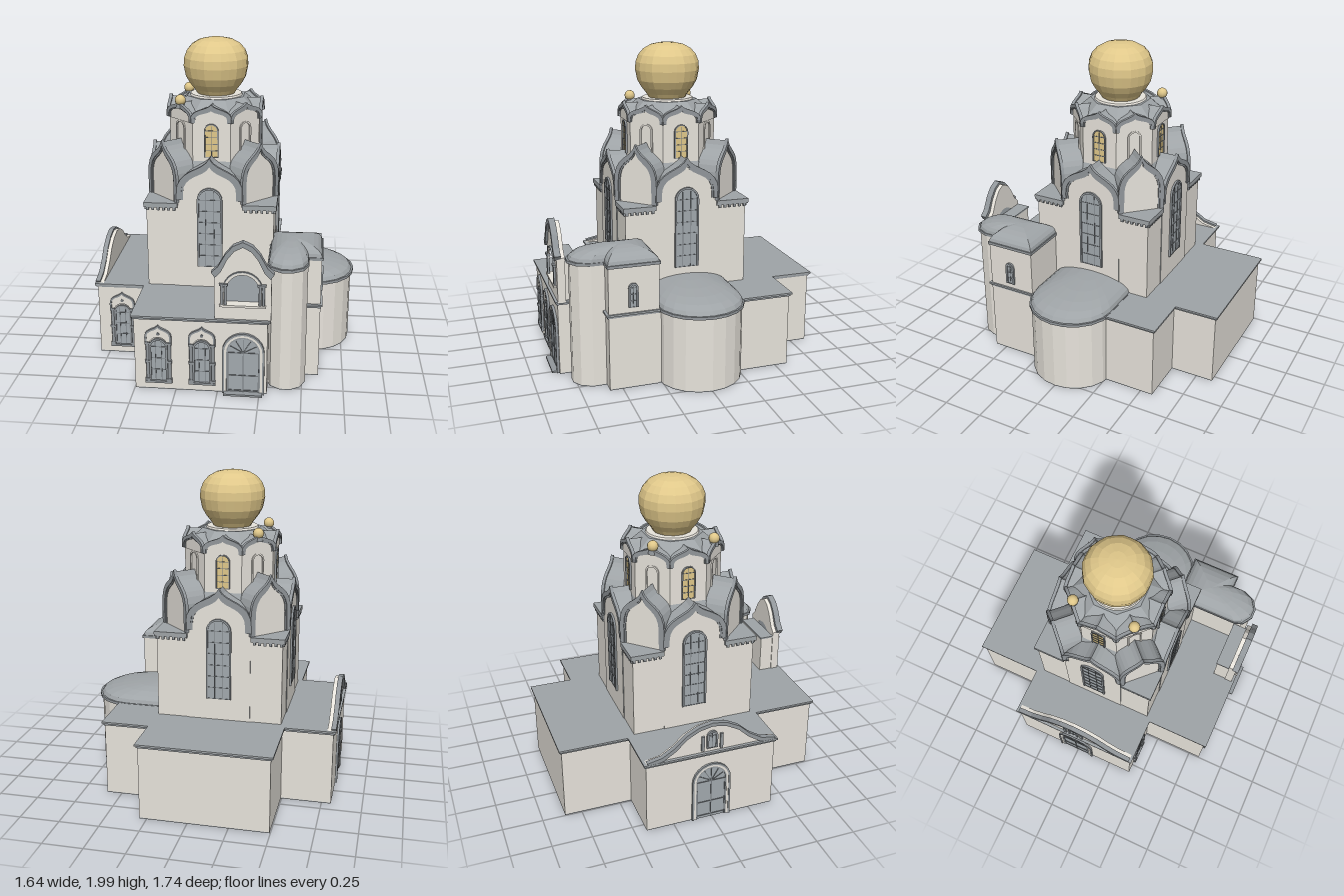
import * as THREE from 'three';

const mat = (name, color, side = THREE.FrontSide) => {
  const m = new THREE.MeshStandardMaterial({ color, side });
  m.name = name;
  return m;
};
const wall = mat('plaster', 0xebe7df);
const roof = mat('roofGrey', 0x9fa4a7, THREE.DoubleSide);
const trim = mat('trimGrey', 0x92979b);
const glass = mat('glass', 0xa2a9ae);
const bars = mat('darkBars', 0x767b7f);
const gold = mat('gold', 0xe0c88a);

const CX = -0.09; // tower axis
const V = (x, y) => new THREE.Vector2(x, y);

function add(parent, name, geo, material, x = 0, y = 0, z = 0) {
  const m = new THREE.Mesh(geo, material);
  m.name = name;
  m.position.set(x, y, z);
  parent.add(m);
  return m;
}
const box = (p, name, m, w, h, d, x, y, z) => add(p, name, new THREE.BoxGeometry(w, h, d), m, x, y, z);
const span = (p, name, m, [x0, x1], [y0, y1], [z0, z1]) =>
  box(p, name, m, x1 - x0, y1 - y0, z1 - z0, (x0 + x1) / 2, (y0 + y1) / 2, (z0 + z1) / 2);

// A group whose local +z points out of a wall
function face(parent, name, x, z, angle) {
  const g = new THREE.Group();
  g.name = name;
  g.position.set(x, 0, z);
  g.rotation.y = angle;
  parent.add(g);
  return g;
}

// Outlines running from left foot over the top to right foot
function ogee(hw, y0, ys, yp) {
  const h = yp - ys;
  const half = new THREE.CubicBezierCurve(V(hw, ys), V(hw, ys + 0.72 * h), V(0.2 * hw, ys + 0.6 * h), V(0, yp)).getPoints(8);
  const left = half.map(p => V(-p.x, p.y));
  return [V(-hw, y0), ...left, ...half.reverse().slice(1), V(hw, y0)];
}
function arch(hw, y0, y1) {
  const pts = [V(-hw, y0)];
  for (let i = 0; i <= 12; i++) {
    const a = Math.PI * (1 - i / 12);
    pts.push(V(hw * Math.cos(a), y1 - hw + hw * Math.sin(a)));
  }
  return [...pts, V(hw, y0)];
}
const mirror = pts => [...pts, ...pts.slice(0, -1).reverse().map(q => V(-q.x, q.y))];
const slab = (pts, depth) => new THREE.ExtrudeGeometry(new THREE.Shape(pts), { depth, bevelEnabled: false });
const band = (outer, inner, depth) => slab([...outer, ...inner.slice().reverse()], depth);

// Arched window with frame and glazing bars
function archWindow(p, x, hw, y0, y1, cols, rows, pane = glass, edge = 0.012) {
  add(p, 'windowPane', slab(arch(hw - edge, y0, y1 - edge), 0.004), pane, x);
  add(p, 'windowFrame', band(arch(hw, y0, y1), arch(hw - edge, y0, y1 - edge), 0.012), trim, x);
  const top = y1 - hw;
  for (let i = 1; i < cols; i++)
    span(p, 'windowBar', bars, [x - hw + (2 * hw * i) / cols - 0.002, x - hw + (2 * hw * i) / cols + 0.002], [y0, y1 - hw * 0.35], [0, 0.007]);
  for (let j = 0; j <= rows; j++) {
    const y = y0 + ((top - y0) * j) / rows;
    span(p, 'windowBar', bars, [x - hw + 0.005, x + hw - 0.005], [y - 0.002, y + 0.002], [0, 0.007]);
  }
}

// Ground floor window with columns and an ogee hood
function ornateWindow(p, x) {
  archWindow(p, x, 0.055, 0.06, 0.34, 3, 3);
  add(p, 'windowHood', band(ogee(0.078, 0.31, 0.35, 0.425), arch(0.055, 0.31, 0.35), 0.01), wall, x);
  add(p, 'hoodEdge', band(ogee(0.08, 0.32, 0.35, 0.43), ogee(0.068, 0.32, 0.35, 0.415), 0.015), trim, x);
  for (const s of [-1, 1]) {
    add(p, 'windowColumn', new THREE.CylinderGeometry(0.011, 0.011, 0.25, 8), trim, x + s * 0.065, 0.19, 0.003);
    for (const y of [0.07, 0.19, 0.31]) box(p, 'columnBand', trim, 0.03, 0.016, 0.03, x + s * 0.065, y, 0.002);
  }
  box(p, 'windowSill', trim, 0.16, 0.014, 0.03, x, 0.055, 0.003);
  add(p, 'hoodBoss', new THREE.CylinderGeometry(0.01, 0.01, 0.014, 8).rotateX(Math.PI / 2), bars, x, 0.372, 0.006);
}

// Arched doorway with a fan light
function door(p, x) {
  add(p, 'doorSurround', band(arch(0.125, 0, 0.4), arch(0.113, 0, 0.388), 0.016), trim, x);
  add(p, 'doorReveal', band(arch(0.113, 0, 0.388), arch(0.1, 0, 0.374), 0.012), wall, x);
  add(p, 'doorFrame', band(arch(0.1, 0, 0.374), arch(0.093, 0, 0.365), 0.01), trim, x);
  add(p, 'doorLeaves', slab(arch(0.093, 0, 0.365), 0.005), glass, x);
  for (const dx of [-0.09, 0, 0.09]) box(p, 'doorBar', bars, 0.005, 0.27, 0.01, x + dx, 0.135, 0.004);
  for (const y of [0.02, 0.12, 0.27]) box(p, 'doorBar', bars, 0.18, 0.006, 0.01, x, y, 0.004);
  for (let i = 1; i < 6; i++) {
    const a = (Math.PI * i) / 6;
    box(p, 'fanBar', bars, 0.085, 0.005, 0.01, x + 0.045 * Math.cos(a), 0.27 + 0.045 * Math.sin(a), 0.004).rotation.z = a;
  }
}

// Upright wall following a floor outline of [x, z] points
function prism(p, name, m, outline, y0, y1) {
  const g = slab(outline.map(([x, z]) => V(x, -z)), y1 - y0).rotateX(-Math.PI / 2);
  return add(p, name, g, m, 0, y0);
}
// Low dome drawn from an outline towards a centre
function domeRoof(p, name, outline, [cx, cz], y0, h) {
  const at = (i, k) => {
    const a = (k / 6) * Math.PI / 2, s = Math.cos(a), [x, z] = outline[i];
    return [cx + (x - cx) * s, y0 + h * Math.sin(a), cz + (z - cz) * s];
  };
  const pos = [];
  for (let k = 0; k < 6; k++)
    for (let i = 0; i < outline.length - 1; i++) {
      const a = at(i, k), b = at(i + 1, k), c = at(i, k + 1), d = at(i + 1, k + 1);
      pos.push(...a, ...c, ...b, ...b, ...c, ...d);
    }
  const g = new THREE.BufferGeometry();
  g.setAttribute('position', new THREE.Float32BufferAttribute(pos, 3));
  g.computeVertexNormals();
  add(p, name, g, roof);
}
const grow = (outline, [cx, cz], f) => outline.map(([x, z]) => [cx + (x - cx) * f, cz + (z - cz) * f]);

function lowerStorey(root) {
  const blocks = [[-0.495, 0.295, -0.857, 0.825], [-0.808, -0.4, -0.425, 0.408], [0.2, 0.595, -0.58, 0.58]];
  for (const [x0, x1, z0, z1] of blocks) {
    span(root, 'foundation', roof, [x0, x1], [0, 0.006], [z0, z1]);
    span(root, 'lowerWall', wall, [x0, x1], [0.006, 0.465], [z0, z1]);
    span(root, 'lowerCornice', trim, [x0 - 0.008, x1 + 0.008], [0.462, 0.474], [z0 - 0.008, z1 + 0.008]);
    span(root, 'flatRoof', roof, [x0 - 0.016, x1 + 0.016], [0.474, 0.486], [z0 - 0.016, z1 + 0.016]);
  }
  // Round apse on the left side
  const apse = [[0.3, -0.265]];
  for (let i = 0; i <= 10; i++) {
    const a = (i / 10 - 0.5) * Math.PI;
    apse.push([0.55 + 0.25 * Math.cos(a), 0.265 * Math.sin(a)]);
  }
  apse.push([0.3, 0.265]);
  const c = [0.3, 0];
  prism(root, 'foundation', roof, apse, 0, 0.006);
  prism(root, 'apseWall', wall, apse, 0.006, 0.47);
  prism(root, 'apseCornice', trim, grow(apse, c, 1.035), 0.47, 0.488);
  domeRoof(root, 'apseRoof', grow(apse, c, 1.01), c, 0.488, 0.09);
  // Taller corner chapel with a small rounded bay
  const chapel = [[0.29, 0.27], [0.6, 0.27], [0.6, 0.58], [0.52, 0.58], [0.52, 0.66], [0.49, 0.73], [0.43, 0.768], [0.37, 0.768], [0.31, 0.73], [0.29, 0.68]];
  const cc = [0.42, 0.45];
  prism(root, 'foundation', roof, chapel, 0, 0.006);
  prism(root, 'chapelWall', wall, chapel, 0.006, 0.77);
  prism(root, 'chapelCornice', trim, grow(chapel, cc, 1.05), 0.77, 0.788);
  domeRoof(root, 'chapelRoof', grow([...chapel, chapel[0]], cc, 1.01), cc, 0.788, 0.08);
  archWindow(face(root, 'chapelWindow', 0.6, 0.43, Math.PI / 2), 0, 0.03, 0.52, 0.67, 2, 3);

  const front = face(root, 'frontDetails', 0, 0.825, 0);
  for (const x of [-0.35, -0.09]) ornateWindow(front, x);
  door(front, 0.155);
  box(front, 'doorStep', trim, 0.23, 0.012, 0.05, 0.155, 0.006, 0.02);
  ornateWindow(face(root, 'armWindow', 0, 0.408, 0), -0.655);

  // Gable with niche above the front door
  const gable = face(root, 'frontGable', 0.15, 0.775, 0);
  const outline = [[-0.165, 0.48], [-0.165, 0.765], [-0.13, 0.8], [-0.09, 0.88], [-0.05, 0.93], [0, 0.955]].map(q => V(...q));
  const shape = new THREE.Shape(mirror(outline));
  shape.holes.push(new THREE.Path(arch(0.1, 0.575, 0.775)));
  add(gable, 'gableWall', new THREE.ExtrudeGeometry(shape, { depth: 0.05, bevelEnabled: false }), wall);
  const crest = mirror(outline.slice(1));
  add(gable, 'gableCrest', band(crest.map(q => V(q.x * 1.1, q.y + 0.018)), crest.map(q => V(q.x * 0.97, q.y - 0.014)), 0.04), trim, 0, 0, 0.026);
  add(gable, 'nichePane', slab(arch(0.1, 0.575, 0.775), 0.006), glass, 0, 0, 0.002);
  add(gable, 'nicheArch', band(arch(0.112, 0.66, 0.787), arch(0.094, 0.66, 0.769), 0.008), wall, 0, 0, 0.05);
  add(gable, 'nicheArchEdge', band(arch(0.116, 0.66, 0.791), arch(0.11, 0.66, 0.785), 0.012), trim, 0, 0, 0.05);
  for (const x of [-0.12, -0.1, 0.1, 0.12]) add(gable, 'nicheColumn', new THREE.CylinderGeometry(0.008, 0.008, 0.13, 8), trim, x, 0.64, 0.056);
  for (const s of [-1, 1]) box(gable, 'nicheCapital', trim, 0.05, 0.012, 0.025, s * 0.11, 0.708, 0.056);
  box(gable, 'nicheSill', wall, 0.27, 0.013, 0.06, 0, 0.575, 0.038);
  span(gable, 'gableBacking', wall, [-0.16, 0.14], [0.48, 0.73], [-0.085, 0]);
  span(gable, 'gableBackingRoof', roof, [-0.165, 0.145], [0.73, 0.74], [-0.09, 0]);

  // Wide gable and doorway on the right arm
  const side = face(root, 'sideGable', -0.805, -0.008, -Math.PI / 2);
  const wide = mirror([[-0.415, 0.486], [-0.32, 0.505], [-0.24, 0.555], [-0.17, 0.62], [-0.09, 0.662], [0, 0.68]].map(q => V(...q)));
  add(side, 'sideGableWall', slab(wide, 0.035), wall, 0, 0, -0.035);
  add(side, 'sideGableCrest', band(wide.map(q => V(q.x, q.y + 0.012)), wide.map(q => V(q.x * 0.97, q.y - 0.012)), 0.03), trim, 0, 0, -0.012);
  archWindow(side, 0, 0.035, 0.51, 0.63, 2, 1);
  for (const x of [-0.06, 0.06]) box(side, 'gablePilaster', trim, 0.018, 0.1, 0.014, x, 0.55, 0.005);
  door(side, 0);
}

// Ogee gable: plaster face, grey vault running inwards, stepped rim
function kokoshnik(p, hw, y0, ys, yp, depth, rim, foot) {
  const at = k => ogee(hw - rim * k, foot, ys, yp - rim * 1.3 * k);
  add(p, 'gableVault', slab(ogee(hw, y0, ys, yp), depth), [wall, roof], 0, 0, -depth);
  add(p, 'gableRim', band(ogee(hw + 0.008, foot, ys, yp + 0.012), at(1), 0.02), trim, 0, 0, -0.008);
  add(p, 'gableInnerRim', band(at(1), at(1.5), 0.006), trim);
}

function tower(root) {
  const t = face(root, 'tower', CX, 0, 0);
  box(t, 'towerWall', wall, 0.785, 0.54, 0.785, 0, 0.75, 0);
  const flat = g => {
    const f = g.toNonIndexed();
    f.computeVertexNormals();
    return f;
  };
  const oct = (r0, r1, h) => flat(new THREE.CylinderGeometry(r1, r0, h, 8, 1, false, Math.PI / 8));
  add(t, 'lowerRoofCore', oct(0.39, 0.3, 0.2), roof, 0, 1.18, 0);
  add(t, 'drum', oct(0.303, 0.303, 0.38), wall, 0, 1.35, 0);
  add(t, 'upperRoof', oct(0.302, 0.19, 0.095), roof, 0, 1.5875, 0);

  for (let i = 0; i < 8; i++) {
    const a = (i * Math.PI) / 4, s = Math.sin(a), c = Math.cos(a), diagonal = i % 2 === 1;
    // Lower ring of gables
    const r = diagonal ? 0.42 : 0.397;
    const low = face(t, 'lowerGable', r * s, r * c, a);
    if (diagonal) kokoshnik(low, 0.14, 1.02, 1.16, 1.395, 0.16, 0.02, 1.04);
    else {
      kokoshnik(low, 0.196, 0.48, 1.1, 1.315, 0.15, 0.022, 1.06);
      archWindow(low, 0, 0.078, 0.625, 1.14, 3, 6);
    }
    // Drum windows and upper ring of gables
    const d = face(t, 'drumFace', 0.28 * s, 0.28 * c, a);
    if (diagonal) add(d, 'blindArch', band(arch(0.044, 1.3, 1.512), arch(0.034, 1.3, 1.501), 0.008), wall);
    else archWindow(d, 0, 0.044, 1.3, 1.51, 2, 4, gold, 0.007);
    kokoshnik(face(t, 'upperGable', 0.286 * s, 0.286 * c, a), 0.118, 1.51, 1.535, 1.618, 0.11, 0.014, 1.515);
  }

  // Corner cornices with dentils
  for (const sx of [-1, 1]) for (const sz of [-1, 1]) {
    box(t, 'cornerCornice', roof, 0.21, 0.03, 0.21, sx * 0.303, 1.022, sz * 0.303);
    for (let k = 0; k < 6; k++) {
      const q = 0.22 + k * 0.033;
      box(t, 'dentil', trim, 0.016, 0.02, 0.02, sx * q, 0.998, sz * 0.394);
      box(t, 'dentil', trim, 0.02, 0.02, 0.016, sx * 0.394, 0.998, sz * q);
    }
  }

  // Small gilded balls
  for (const s of [-1, 1]) {
    add(t, 'ballBase', new THREE.CylinderGeometry(0.025, 0.03, 0.03, 10), trim, -0.2, 1.6, s * 0.195);
    add(t, 'smallBall', new THREE.SphereGeometry(0.034, 12, 8), gold, -0.2, 1.633, s * 0.195);
  }

  // Neck and lobed onion dome
  add(t, 'domeNeck', new THREE.CylinderGeometry(0.16, 0.17, 0.02, 24), wall, 0, 1.636, 0);
  const profile = [[0.115, 1.64], [0.135, 1.672], [0.165, 1.71], [0.19, 1.755], [0.203, 1.82], [0.2, 1.87], [0.182, 1.915], [0.15, 1.952], [0.105, 1.977], [0.05, 1.989], [0, 1.992]];
  const dome = new THREE.LatheGeometry(profile.map(q => V(...q)), 24);
  const pos = dome.attributes.position;
  for (let i = 0; i < pos.count; i++) {
    const f = 0.985 + 0.02 * Math.abs(Math.sin(6 * Math.atan2(pos.getX(i), pos.getZ(i))));
    pos.setX(i, pos.getX(i) * f);
    pos.setZ(i, pos.getZ(i) * f);
  }
  add(t, 'onionDome', flat(dome), gold);
}

export function createModel() {
  const root = new THREE.Group();
  root.name = 'church';
  lowerStorey(root);
  tower(root);
  return root;
}
